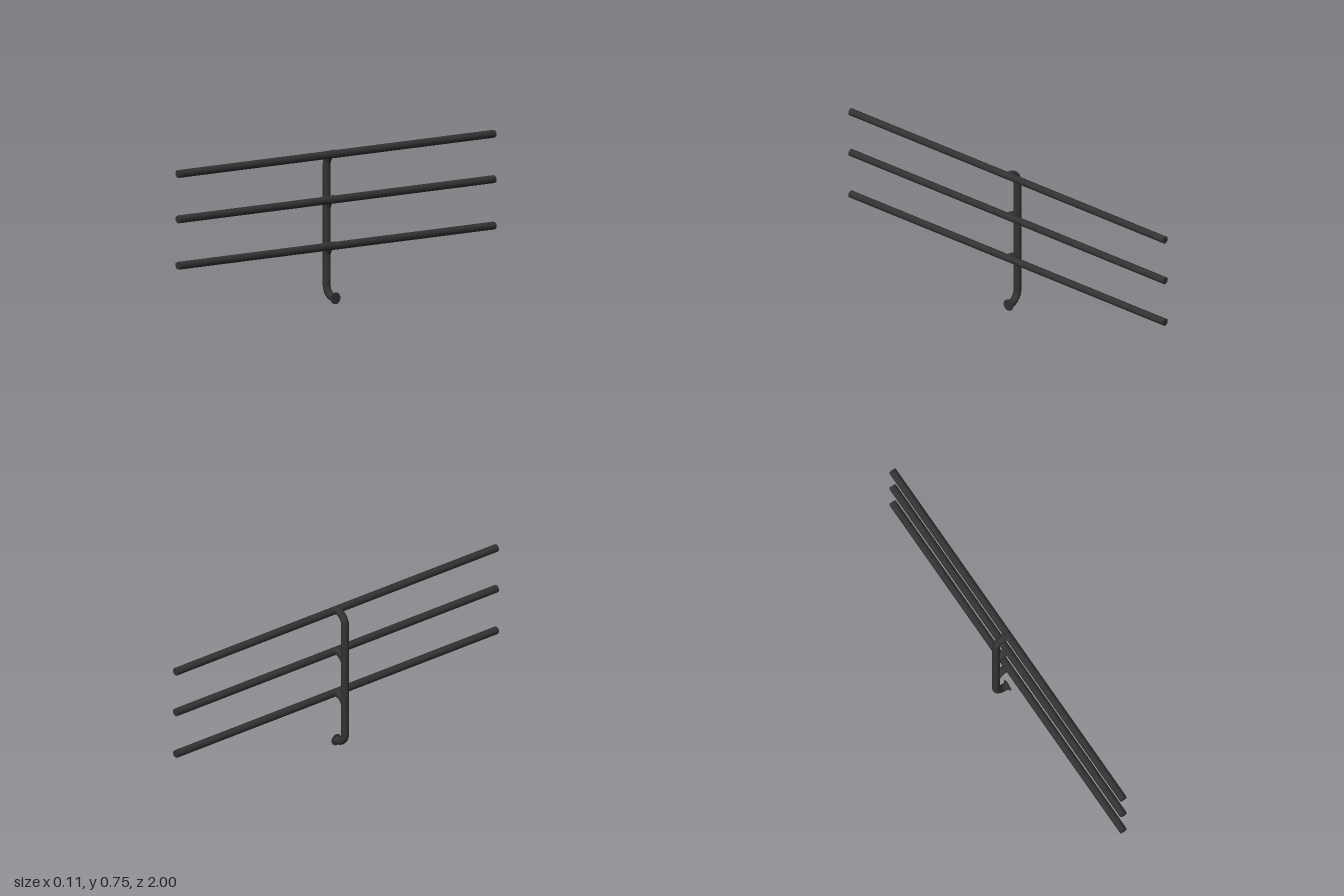
import * as THREE from 'three';

const POST_X = -0.035, RAIL_X = 0.033, BEND = 0.058, R = 0.019;
const RAIL_YS = [0.283, 0.507, 0.726];
const FOOT_Y = 0.029;

const material = new THREE.MeshStandardMaterial({ color: 0x333333 });

const v = (x, y) => new THREE.Vector3(x, y, 0);

// Quarter bend from the vertical post (dir = 1 upwards, -1 downwards) to a horizontal stub at height y
function bend(y, dir) {
  const k = BEND * 0.4477;
  return new THREE.CubicBezierCurve3(
    v(POST_X, y - dir * BEND), v(POST_X, y - dir * k),
    v(POST_X + k, y), v(POST_X + BEND, y));
}

function reversed(c) {
  return new THREE.CubicBezierCurve3(c.v3, c.v2, c.v1, c.v0);
}

function path(...curves) {
  const p = new THREE.CurvePath();
  curves.forEach((c) => p.add(c));
  return p;
}

export function createModel() {
  const group = new THREE.Group();
  const add = (name, geometry, x = 0, y = 0) => {
    const mesh = new THREE.Mesh(geometry, material);
    mesh.name = name;
    mesh.position.set(x, y, 0);
    group.add(mesh);
    return mesh;
  };

  // Post: one bent tube from the wall flange up to the top rail
  const top = RAIL_YS[2];
  const foot = reversed(bend(FOOT_Y, -1));
  const head = bend(top, 1);
  const postPath = path(
    new THREE.LineCurve3(v(0.03, FOOT_Y), foot.v0),
    foot,
    new THREE.LineCurve3(foot.v3, head.v0),
    head,
    new THREE.LineCurve3(head.v3, v(RAIL_X, top)));
  add('post', new THREE.TubeGeometry(postPath, 90, R, 16));

  // Curved brackets that carry the two lower rails
  RAIL_YS.slice(0, 2).forEach((y) => {
    const arc = bend(y, 1);
    const p = path(arc, new THREE.LineCurve3(arc.v3, v(RAIL_X, y)));
    add('railBracket', new THREE.TubeGeometry(p, 14, R - 0.0004, 16));
  });

  // Long horizontal rails with eight sides
  const railGeometry = new THREE.CylinderGeometry(R, R, 2, 8);
  railGeometry.rotateY(Math.PI / 16).rotateX(Math.PI / 2);
  RAIL_YS.forEach((y) => add('rail', railGeometry, RAIL_X, y));

  // Round mounting flange at the foot
  const flange = new THREE.CylinderGeometry(0.0285, 0.0285, 0.006, 16).rotateZ(Math.PI / 2);
  add('flange', flange, 0.03, 0.0285);

  return group;
}
